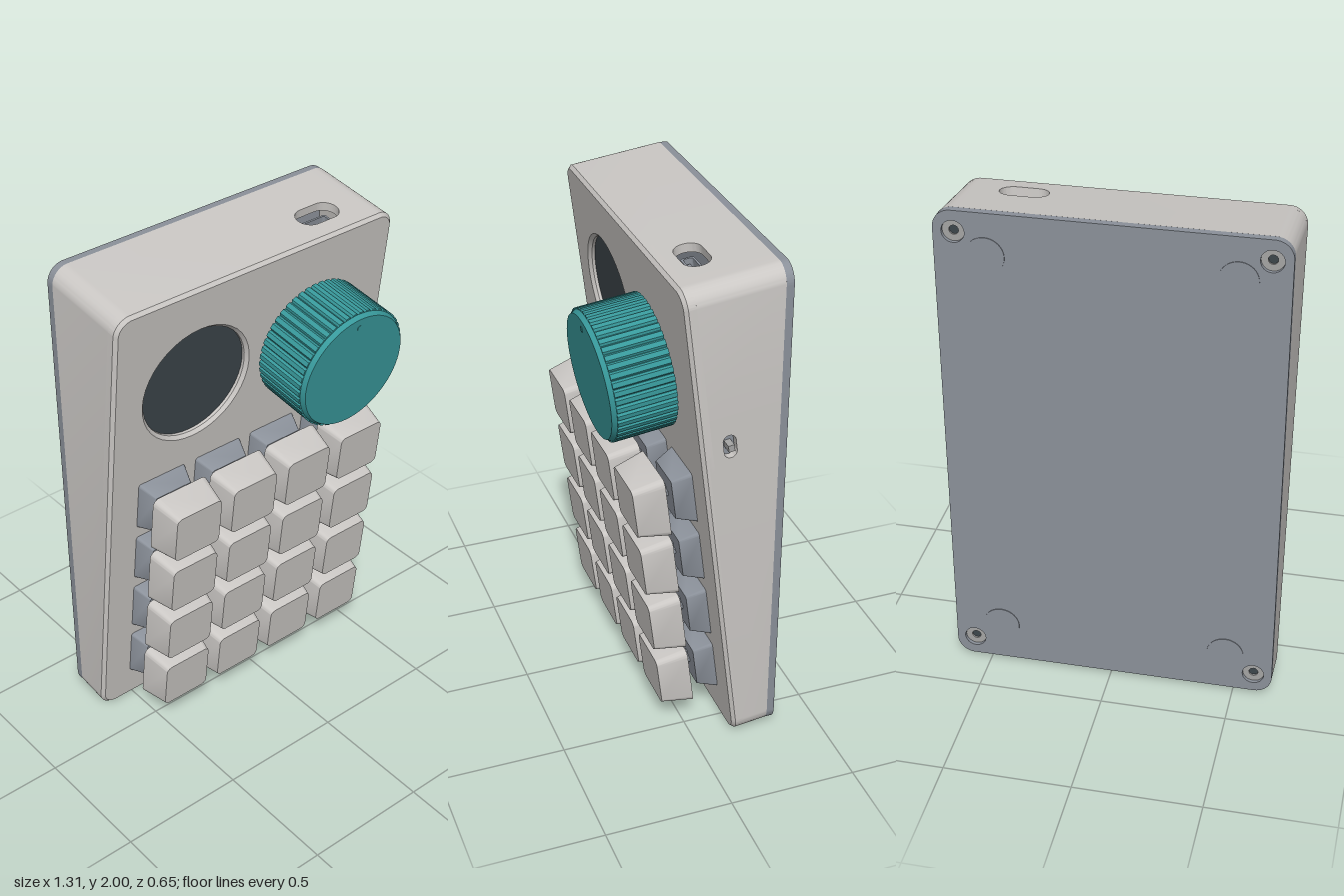
import * as THREE from 'three';
import { toCreasedNormals } from 'three/addons/utils/BufferGeometryUtils.js';

const TILT = THREE.MathUtils.degToRad(7), SIN = Math.sin(TILT), COS = Math.cos(TILT);
const L = -0.655, R = 0.64, T = 0.961, B = -1.008; // case outline on the tilted face
const RAD = 0.07, WALL = 0.035, LIP = 0.025, PI = Math.PI;
// distance behind the tilted face at which the case meets the upright back plate
const backDepth = y => (0.26 + y * SIN) / COS;

function material(name, color) {
  const m = new THREE.MeshStandardMaterial({ color });
  m.name = name;
  return m;
}

function roundRect(x0, y0, x1, y1, r) {
  const s = new THREE.Shape();
  s.absarc(x1 - r, y0 + r, r, -PI / 2, 0, false);
  s.absarc(x1 - r, y1 - r, r, 0, PI / 2, false);
  s.absarc(x0 + r, y1 - r, r, PI / 2, PI, false);
  s.absarc(x0 + r, y0 + r, r, PI, 1.5 * PI, false);
  s.closePath();
  return s;
}

function circle(x, y, r) {
  return new THREE.Path().absarc(x, y, r, 0, 2 * PI, false);
}

function extrude(shape, depth, options = {}) {
  return new THREE.ExtrudeGeometry(shape, { depth, bevelEnabled: false, curveSegments: 8, ...options });
}

function add(parent, name, geometry, mat, x = 0, y = 0, z = 0) {
  const mesh = new THREE.Mesh(toCreasedNormals(geometry, 0.5), mat);
  mesh.name = name;
  mesh.position.set(x, y, z);
  parent.add(mesh);
  return mesh;
}

// cylinder whose axis runs along z, from z = 0 to z = height
function disc(rBack, rFront, height, sides = 40) {
  return new THREE.CylinderGeometry(rFront, rBack, height, sides).rotateX(PI / 2).translate(0, 0, height / 2);
}

// strip of case wall, its rear edge cut by the upright back plane
function wallStrip(shape) {
  const g = extrude(shape, 0.2 - LIP).translate(0, 0, -0.2);
  const p = g.attributes.position;
  for (let i = 0; i < p.count; i++) if (p.getZ(i) < -0.15) p.setZ(i, -backDepth(p.getY(i)));
  g.computeVertexNormals();
  return g;
}

// rounded square block narrowing towards +z
function taperedBlock(size, frontScale, height, r) {
  const h = size / 2;
  const g = extrude(roundRect(-h, -h, h, h, r), height, { curveSegments: 4 });
  const p = g.attributes.position;
  for (let i = 0; i < p.count; i++) {
    if (p.getZ(i) > height / 2) p.setXY(i, p.getX(i) * frontScale, p.getY(i) * frontScale);
  }
  g.computeVertexNormals();
  return g;
}

export function createModel() {
  const shell = material('shell grey', 0xcac7c4);
  const slate = material('slate', 0x8b919a);
  const teal = material('teal', 0x38999b);
  const glass = material('dark glass', 0x3d464b);
  const metal = material('metal', 0xa5a5a4);

  const model = new THREE.Group();
  model.name = 'macroPad';
  const face = new THREE.Group();
  face.name = 'tiltedCase';
  face.position.set(0, 1, -0.035);
  face.rotation.x = TILT;
  model.add(face);

  // Face plate with chamfered rim and round window
  const plate = roundRect(L, B, R, T, RAD);
  plate.holes.push(circle(-0.275, 0.534, 0.235));
  add(face, 'facePlate', extrude(plate, 0.03, {
    bevelEnabled: true, bevelThickness: 0.013, bevelSize: 0.013, bevelOffset: -0.013, bevelSegments: 1, curveSegments: 20,
  }), shell, 0, 0, -0.043);
  add(face, 'screen', disc(0.24, 0.24, 0.01, 64), glass, -0.275, 0.534, -0.035);

  // Case walls, leaving gaps for the two pierced panels
  const gapX = [0.22, 0.52], gapY = [0.22, 0.42], ri = RAD - WALL;
  const corner = new THREE.Shape();
  corner.moveTo(gapX[1], T - WALL).lineTo(gapX[1], T);
  corner.absarc(R - RAD, T - RAD, RAD, PI / 2, 0, true);
  corner.lineTo(R, gapY[1]).lineTo(R - WALL, gapY[1]);
  corner.absarc(R - RAD, T - RAD, ri, 0, PI / 2, false);
  add(face, 'cornerWall', wallStrip(corner), shell);

  const wrap = new THREE.Shape();
  wrap.moveTo(R - WALL, gapY[0]).lineTo(R, gapY[0]);
  wrap.absarc(R - RAD, B + RAD, RAD, 0, -PI / 2, true);
  wrap.absarc(L + RAD, B + RAD, RAD, -PI / 2, -PI, true);
  wrap.absarc(L + RAD, T - RAD, RAD, PI, PI / 2, true);
  wrap.lineTo(gapX[0], T).lineTo(gapX[0], T - WALL);
  wrap.absarc(L + RAD, T - RAD, ri, PI / 2, PI, false);
  wrap.absarc(L + RAD, B + RAD, ri, -PI, -PI / 2, false);
  wrap.absarc(R - RAD, B + RAD, ri, -PI / 2, 0, false);
  add(face, 'mainWall', wallStrip(wrap), shell);

  // Top panel with cable opening
  const topPanel = roundRect(gapX[0], LIP, gapX[1], backDepth(T), 0.0001);
  topPanel.holes.push(roundRect(0.279, 0.084, 0.465, 0.19, 0.0529));
  add(face, 'topPanel', extrude(topPanel, WALL).rotateX(-PI / 2), shell, 0, T - WALL, 0);

  // Side panel with switch slot
  const sidePanel = new THREE.Shape([
    [LIP, gapY[0]], [backDepth(gapY[0]), gapY[0]], [backDepth(gapY[1]), gapY[1]], [LIP, gapY[1]],
  ].map(([u, v]) => new THREE.Vector2(u, v)));
  sidePanel.holes.push(roundRect(0.085, 0.277, 0.135, 0.371, 0.0249));
  add(face, 'sidePanel', extrude(sidePanel, WALL).rotateY(PI / 2), shell, R - WALL, 0, 0);
  add(face, 'sideSwitch', new THREE.BoxGeometry(0.04, 0.12, 0.07), slate, R - 0.05, 0.324, -0.11);
  add(face, 'switchNub', new THREE.BoxGeometry(0.05, 0.026, 0.024), metal, 0.63, 0.324, -0.11);

  // Circuit board and cable port inside
  add(face, 'circuitBoard', new THREE.BoxGeometry(1.18, 1.86, 0.03), teal, -0.007, -0.03, -0.095);
  const port = roundRect(-0.065, -0.026, 0.065, 0.026, 0.012);
  port.holes.push(roundRect(-0.056, -0.018, 0.056, 0.018, 0.008));
  add(face, 'cablePort', extrude(port, 0.1).rotateX(-PI / 2), slate, 0.372, 0.82, -0.137);
  add(face, 'portTongue', new THREE.BoxGeometry(0.1, 0.08, 0.012), slate, 0.372, 0.86, -0.137);

  // Knob: ribbed drum, chamfered front and pointer dot
  const knob = new THREE.Group();
  knob.name = 'knob';
  knob.position.set(0.26, 0.532, 0);
  face.add(knob);
  const ribs = 48, ribPoints = [];
  for (let i = 0; i < ribs; i++) {
    [[0, 0.244], [0.2, 0.253], [0.75, 0.253], [0.95, 0.244]].forEach(([f, r]) => {
      const a = (i + f) / ribs * 2 * PI;
      ribPoints.push(new THREE.Vector2(r * Math.cos(a), r * Math.sin(a)));
    });
  }
  add(knob, 'knobShaft', disc(0.045, 0.045, 0.04, 24), metal, 0, 0, -0.01);
  add(knob, 'knobDrum', extrude(new THREE.Shape(ribPoints), 0.228), teal, 0, 0, 0.02);
  add(knob, 'knobFront', disc(0.247, 0.237, 0.018, 64), teal, 0, 0, 0.248);
  add(knob, 'pointerDot', disc(0.012, 0.012, 0.004, 16), teal, 0, 0.197, 0.264);

  // Four by four keys: switch housing, cross stem and cap
  const housing = taperedBlock(0.22, 0.76, 0.08, 0.012);
  const cap = taperedBlock(0.252, 0.83, 0.122, 0.028);
  for (let row = 0; row < 4; row++) {
    for (let col = 0; col < 4; col++) {
      const key = new THREE.Group();
      key.name = `key${row + 1}_${col + 1}`;
      key.position.set(-0.413 + col * 0.269, 0.05 - row * 0.2685, 0);
      face.add(key);
      add(key, 'switchHousing', housing, slate, 0, 0, -0.005);
      add(key, 'stemUpright', new THREE.BoxGeometry(0.018, 0.056, 0.05), slate, 0, 0, 0.095);
      add(key, 'stemCross', new THREE.BoxGeometry(0.056, 0.018, 0.05), slate, 0, 0, 0.095);
      add(key, 'keycap', cap, shell, 0, -0.002, 0.111);
    }
  }

  // Upright back plate with corner screws and round feet
  const back = roundRect(L, 0.017, R, 2, RAD);
  const cx = (L + R) / 2, cy = 1.008, hx = (R - L) / 2, hy = 0.99;
  const corners = [[1, 1], [1, -1], [-1, 1], [-1, -1]];
  corners.forEach(([sx, sy]) => back.holes.push(circle(cx + sx * (hx - 0.075), cy + sy * (hy - 0.08), 0.043)));
  add(model, 'backPlate', extrude(back, 0.03, { curveSegments: 12 }), slate, 0, 0, -0.325);
  corners.forEach(([sx, sy]) => {
    const x = cx + sx * (hx - 0.075), y = cy + sy * (hy - 0.08);
    const head = new THREE.Shape().absarc(0, 0, 0.044, 0, 2 * PI, false);
    head.holes.push(circle(0, 0, 0.018));
    add(model, 'screwHead', extrude(head, 0.015), metal, x, y, -0.31);
    add(model, 'screwSocket', disc(0.02, 0.02, 0.01, 16), glass, x, y, -0.303);
    add(model, 'foot', disc(0.073, 0.073, 0.01), slate, cx + sx * (hx - 0.19), cy + sy * (hy - 0.165), -0.328);
  });

  return model;
}
